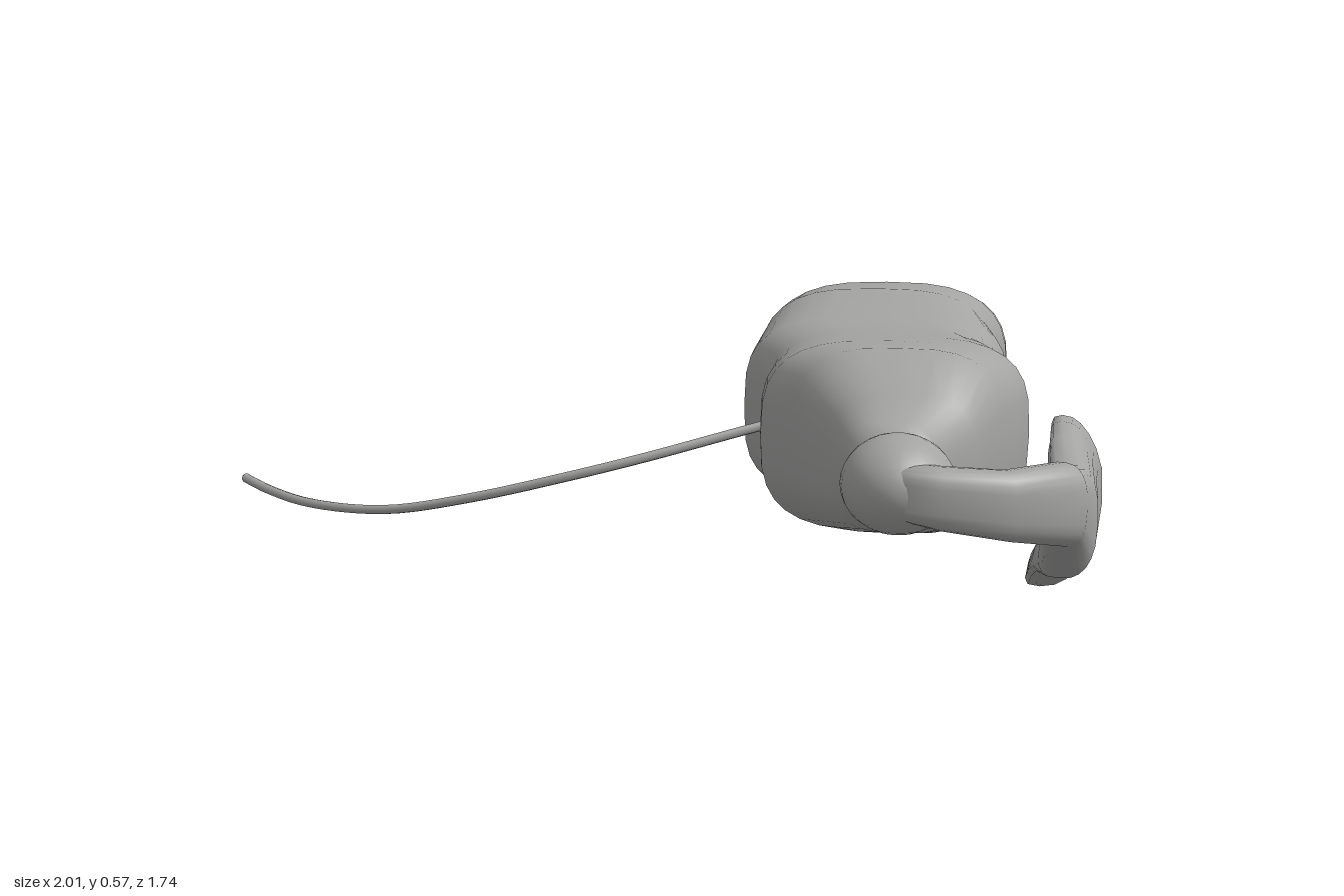
import * as THREE from 'three';

// Skins a list of equal-sized rings (arrays of Vector3), closing both ends.
function skin(rings) {
  const n = rings[0].length, pos = [], idx = [];
  rings.forEach(r => r.forEach(p => pos.push(p.x, p.y, p.z)));
  for (let i = 0; i < rings.length - 1; i++) {
    for (let j = 0; j < n; j++) {
      const a = i * n + j, b = i * n + (j + 1) % n;
      idx.push(a, b, a + n, b, b + n, a + n);
    }
  }
  [0, rings.length - 1].forEach(i => {
    const c = rings[i].reduce((s, p) => s.add(p), new THREE.Vector3()).divideScalar(n);
    const k = pos.length / 3;
    pos.push(c.x, c.y, c.z);
    for (let j = 0; j < n; j++) {
      const a = i * n + j, b = i * n + (j + 1) % n;
      if (i === 0) idx.push(k, b, a); else idx.push(k, a, b);
    }
  });
  const g = new THREE.BufferGeometry();
  g.setAttribute('position', new THREE.Float32BufferAttribute(pos, 3));
  g.setIndex(idx);
  g.computeVertexNormals();
  return g;
}

// Rounded-box outline: cosine and sine bent by an exponent (1 is an ellipse).
const bend = (v, e) => Math.sign(v) * Math.pow(Math.abs(v), e);
function outline(n, e, place) {
  return Array.from({ length: n }, (_, j) => {
    const t = (j / n) * Math.PI * 2;
    return place(bend(Math.cos(t), e), bend(Math.sin(t), e));
  });
}

export function createModel() {
  const model = new THREE.Group();
  const grey = new THREE.MeshStandardMaterial({ color: 0xa4a5a3 });
  grey.name = 'light grey';
  const add = (name, geometry) => {
    const m = new THREE.Mesh(geometry, grey);
    m.name = name;
    model.add(m);
    return m;
  };

  // Body sections from back to front: z, xMin, xMax, yMin, yMax, roundness
  const bodySections = [
    [-0.872, 0.46, 0.68, 0.32, 0.42, 0.8],
    [-0.855, 0.37, 0.73, 0.24, 0.47, 0.8],
    [-0.80, 0.315, 0.79, 0.165, 0.515, 0.75],
    [-0.70, 0.27, 0.855, 0.115, 0.545, 0.72],
    [-0.58, 0.235, 0.845, 0.11, 0.565, 0.7],
    [-0.37, 0.225, 0.805, 0.115, 0.575, 0.67],
    [-0.20, 0.21, 0.825, 0.115, 0.55, 0.62],
    [-0.10, 0.205, 0.81, 0.115, 0.54, 0.6],
    [0.00, 0.25, 0.805, 0.11, 0.535, 0.6],
    [0.10, 0.26, 0.825, 0.105, 0.54, 0.6],
    [0.20, 0.255, 0.845, 0.115, 0.545, 0.62],
    [0.30, 0.26, 0.815, 0.13, 0.55, 0.65],
    [0.40, 0.325, 0.78, 0.15, 0.55, 0.67],
    [0.52, 0.405, 0.715, 0.18, 0.475, 0.7],
    [0.60, 0.44, 0.635, 0.225, 0.43, 0.8],
    [0.68, 0.46, 0.64, 0.25, 0.415, 0.9],
  ];
  add('body', skin(bodySections.map(([z, x0, x1, y0, y1, e]) =>
    outline(32, e, (c, s) => new THREE.Vector3(
      (x0 + x1) / 2 + c * (x1 - x0) / 2, (y0 + y1) / 2 + s * (y1 - y0) / 2, z)))));

  // Rounded knob at the front
  const knob = add('knob', new THREE.SphereGeometry(1, 24, 16));
  knob.scale.set(0.115, 0.1, 0.132);
  knob.position.set(0.55, 0.33, 0.722);

  // Arm widening into the side flap: x, y, z, heading, half thickness, half height, bow
  const flapSections = [
    [0.53, 0.335, 0.79, 90, 0.05, 0.055, 0],
    [0.63, 0.325, 0.825, 90, 0.045, 0.062, 0],
    [0.76, 0.305, 0.79, 65, 0.042, 0.07, 0],
    [0.875, 0.29, 0.70, 45, 0.052, 0.085, 0.01],
    [0.885, 0.235, 0.61, 10, 0.055, 0.12, 0.015],
    [0.88, 0.24, 0.49, 0, 0.05, 0.145, 0.035],
    [0.885, 0.22, 0.36, 0, 0.048, 0.172, 0.05],
    [0.893, 0.193, 0.25, 0, 0.05, 0.192, 0.06],
    [0.90, 0.195, 0.19, 0, 0.044, 0.172, 0.06],
    [0.935, 0.205, 0.152, 0, 0.025, 0.11, 0.038],
  ];
  add('sideFlap', skin(flapSections.map(([x, y, z, heading, t, h, bow]) => {
    const a = THREE.MathUtils.degToRad(heading);
    return outline(24, 0.68, (c, s) => {
      // The lower edge is thicker and leans inward where the flap bows out.
      const thick = t - Math.min(s, 0) * bow * 0.4;
      const side = c * thick + bow * (1 - s * s) + bow * s * 0.3;
      return new THREE.Vector3(x + Math.cos(a) * side, y + s * h, z + Math.sin(a) * side);
    }).reverse();
  })));

  // Thin cord sweeping out to the side
  const cordPath = new THREE.CatmullRomCurve3([
    [0.32, 0.345, 0.14], [0.25, 0.33, 0.16], [0, 0.268, 0.225], [-0.17, 0.225, 0.24],
    [-0.4, 0.165, 0.215], [-0.6, 0.122, 0.16], [-0.8, 0.11, 0.06], [-0.92, 0.12, -0.025],
    [-0.995, 0.135, -0.085],
  ].map(p => new THREE.Vector3(...p)));
  add('cord', new THREE.TubeGeometry(cordPath, 40, 0.011, 8, false));
  const tip = add('cordTip', new THREE.SphereGeometry(0.011, 8, 6));
  tip.position.set(-0.992, 0.135, -0.083);

  return model;
}
